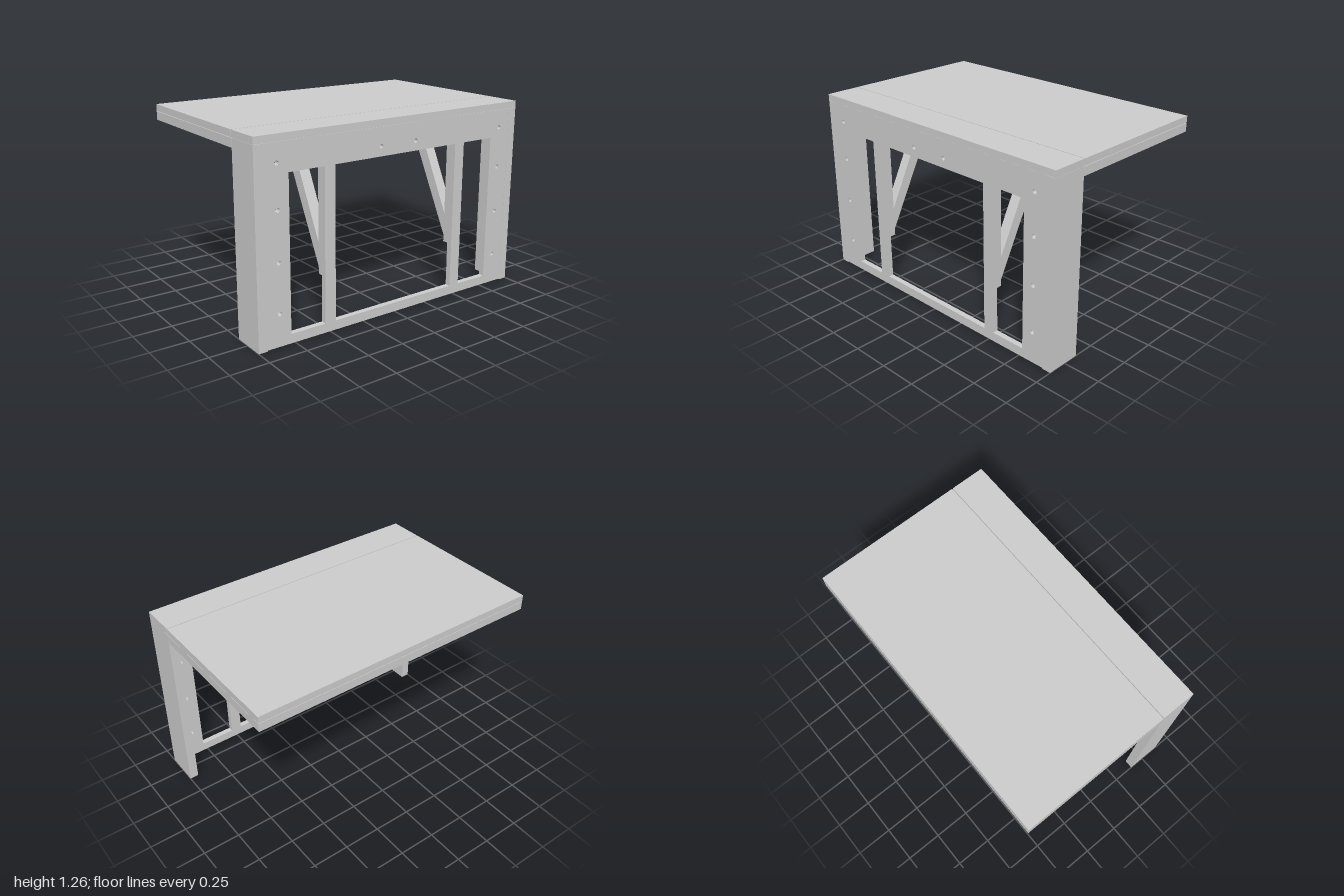
import * as THREE from 'three';

const material = new THREE.MeshStandardMaterial({ color: 0xcccccc, flatShading: true });

function add(parent, name, geometry) {
  const mesh = new THREE.Mesh(geometry, material);
  mesh.name = name;
  parent.add(mesh);
  return mesh;
}

// Box given by its limits on each axis
function block(parent, name, [x0, x1], [y0, y1], [z0, z1]) {
  const mesh = add(parent, name, new THREE.BoxGeometry(x1 - x0, y1 - y0, z1 - z0));
  mesh.position.set((x0 + x1) / 2, (y0 + y1) / 2, (z0 + z1) / 2);
  return mesh;
}

function trace(target, points) {
  points.forEach(([x, y], i) => (i ? target.lineTo(x, y) : target.moveTo(x, y)));
  target.closePath();
  return target;
}

const rect = (target, x0, x1, y0, y1) => trace(target, [[x0, y0], [x1, y0], [x1, y1], [x0, y1]]);

const extrude = (shape, depth) =>
  new THREE.ExtrudeGeometry(shape, { depth, bevelEnabled: false, curveSegments: 8 });

export function createModel() {
  const model = new THREE.Group();
  model.name = 'foldingTable';

  // Table top: fixed front strip and hinged rear leaf with a narrow gap
  block(model, 'fixedTopStrip', [-1, 1], [1.216, 1.26], [0.394, 0.63]);
  block(model, 'foldingLeaf', [-1, 1], [1.216, 1.26], [-0.63, 0.389]);

  // Frame with three openings under the leaf
  const leafShape = rect(new THREE.Shape(), -1, 1, -0.389, 0.63);
  for (const [x0, x1] of [[-0.9, -0.55], [-0.45, 0.45], [0.55, 0.9]]) {
    leafShape.holes.push(rect(new THREE.Path(), x0, x1, -0.29, 0.53));
  }
  const leafFrame = add(model, 'leafFrame', extrude(leafShape, 0.056));
  leafFrame.rotation.x = -Math.PI / 2;
  leafFrame.position.y = 1.157;

  // Front panel with three windows and drilled screw holes
  const panelShape = rect(new THREE.Shape(), -0.94, 0.94, 0.005, 1.215);
  for (const [x0, x1] of [[-0.78, -0.54], [-0.465, 0.465], [0.54, 0.78]]) {
    panelShape.holes.push(rect(new THREE.Path(), x0, x1, 0.065, 1.035));
  }
  for (const side of [-1, 1]) {
    const spots = [[0.855, 0.21], [0.855, 0.52], [0.855, 0.83], [0.855, 1.097], [0.133, 1.097]];
    for (const [x, y] of spots) {
      panelShape.holes.push(new THREE.Path().absarc(side * x, y, 0.014, 0, Math.PI * 2));
    }
  }
  add(model, 'frontPanel', extrude(panelShape, 0.037)).position.z = 0.592;

  // Side boards and swing brackets, mirrored
  for (const side of [-1, 1]) {
    const sideName = side > 0 ? 'left' : 'right';
    block(model, sideName + 'SideBoard', side > 0 ? [0.94, 1] : [-1, -0.94], [0, 1.215], [0.394, 0.63]);

    const bracket = new THREE.Group();
    bracket.name = sideName + 'Bracket';
    bracket.position.x = side * 0.5;
    model.add(bracket);
    block(bracket, 'bracketArm', [-0.035, 0.035], [1.062, 1.157], [0.09, 0.592]);
    block(bracket, 'bracketUpright', [-0.035, 0.035], [0.36, 1.062], [0.553, 0.592]);

    // Diagonal brace drawn in the z-y plane
    const braceShape = trace(new THREE.Shape(),
      [[-0.553, 0.405], [-0.215, 1.062], [-0.3, 1.062], [-0.553, 0.555]]);
    const brace = add(bracket, 'bracketBrace', extrude(braceShape, 0.07));
    brace.rotation.y = Math.PI / 2;
    brace.position.x = -0.035;
  }

  return model;
}
